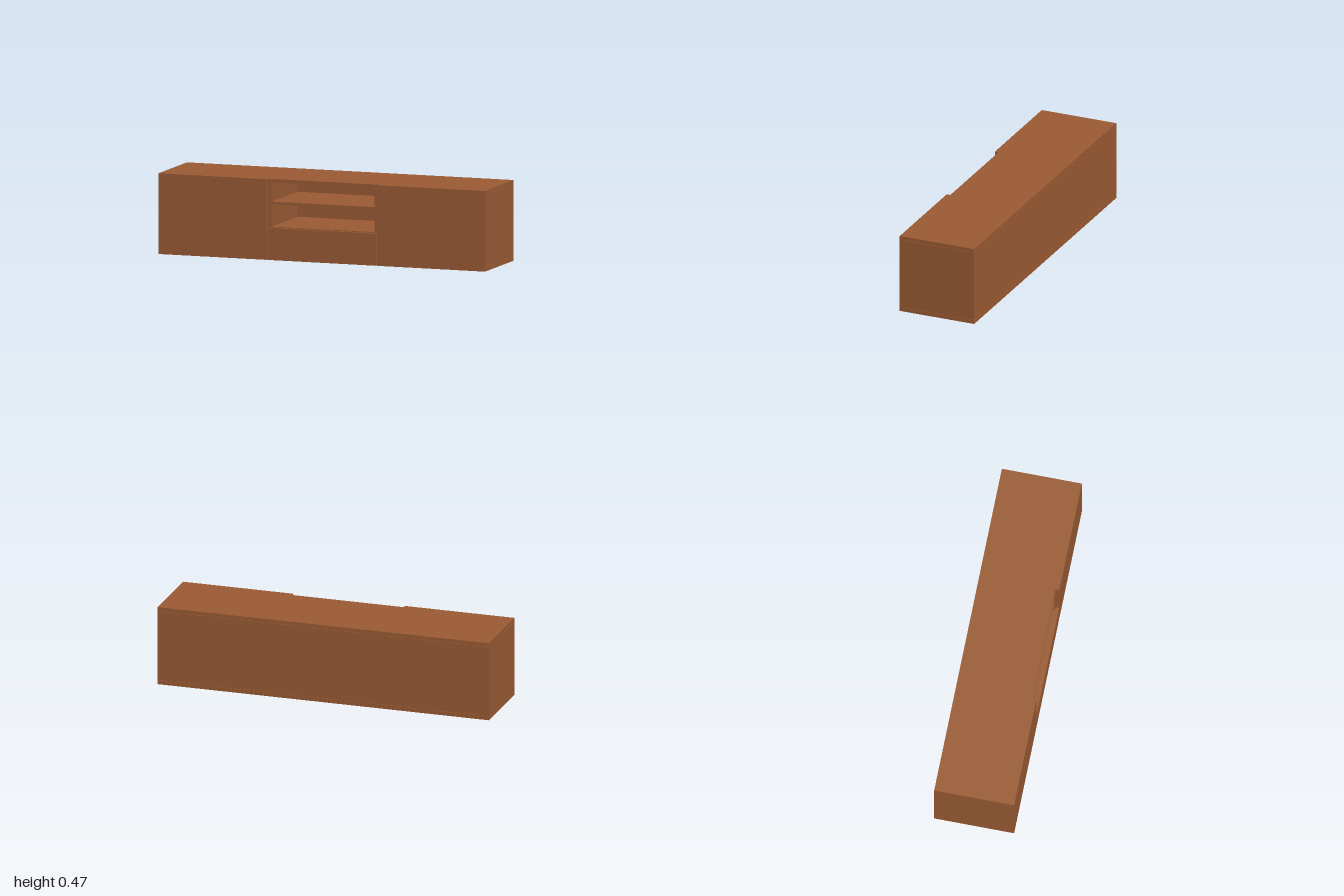
import * as THREE from 'three';

export function createModel() {
  const model = new THREE.Group();
  model.name = 'mediaCabinet';
  const wood = new THREE.MeshStandardMaterial({ color: 0x9c5c34 });
  wood.name = 'warm brown wood';

  // Box panel given by its lower and upper limits on each axis
  function panel(name, [x0, x1], [y0, y1], [z0, z1]) {
    const mesh = new THREE.Mesh(new THREE.BoxGeometry(x1 - x0, y1 - y0, z1 - z0), wood);
    mesh.name = name;
    mesh.position.set((x0 + x1) / 2, (y0 + y1) / 2, (z0 + z1) / 2);
    model.add(mesh);
  }

  const H = 0.467, back = -0.2335, carcass = 0.211, front = 0.2335, t = 0.0225;
  const full = [-1, 1], depth = [back, carcass];
  const upright = [0.0245, 0.4445]; // leaves a hairline joint at top and bottom
  const inner = [back + t, carcass];

  // Carcass
  panel('topPanel', full, [0.446, H], depth);
  panel('bottomPanel', full, [0, 0.023], depth);
  panel('backPanel', [-1 + t, 1 - t], upright, [back, back + t]);

  // Sides, dividers and doors, mirrored
  for (const [side, s] of [['left', 1], ['right', -1]]) {
    const span = (a, b) => (s > 0 ? [a, b] : [-b, -a]);
    panel(side + 'Side', span(1 - t, 1), upright, depth);
    panel(side + 'Divider', span(0.314, 0.3365), upright, inner);
    panel(side + 'Door', span(0.338, 1), [0, H], [carcass, front]);
  }

  // Open niche with drawer below
  panel('nicheFloor', [-0.314, 0.314], [0.168, 0.1905], inner);
  panel('nicheShelf', [-0.314, 0.314], [0.32, 0.335], inner);
  panel('drawerFront', [-0.331, 0.331], [0, 0.186], [carcass, front]);

  return model;
}
